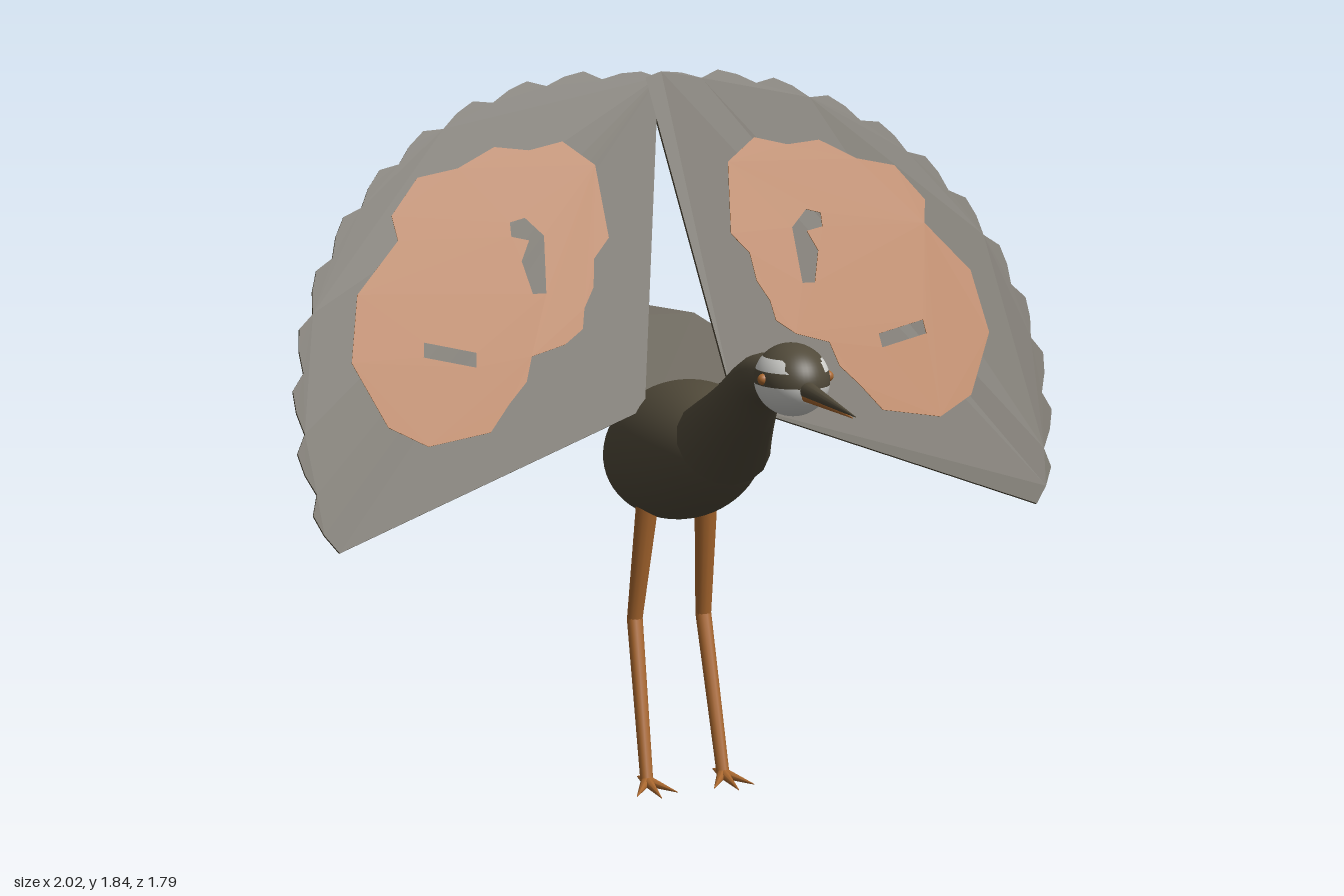
import * as THREE from 'three';

const mat = (name, color, side = THREE.FrontSide) => {
  const m = new THREE.MeshStandardMaterial({ color, side });
  m.name = name;
  return m;
};
const V = (x, y, z) => new THREE.Vector3(x, y, z);
const rad = THREE.MathUtils.degToRad;

function add(parent, name, geometry, material) {
  const m = new THREE.Mesh(geometry, material);
  m.name = name;
  parent.add(m);
  return m;
}

// Tapered round rod from a to b
function rod(parent, name, a, b, r1, r2, material, sides = 12) {
  const m = add(parent, name, new THREE.CylinderGeometry(r2, r1, a.distanceTo(b), sides), material);
  m.position.copy(a).lerp(b, 0.5);
  m.quaternion.setFromUnitVectors(V(0, 1, 0), b.clone().sub(a).normalize());
  return m;
}

// Flat plate centred on its own plane
function plate(shape, depth) {
  return new THREE.ExtrudeGeometry(shape, { depth, bevelEnabled: false }).translate(0, 0, -depth / 2);
}

export function createModel() {
  const brown = mat('plumageBrown', 0x514a3a);
  const orange = mat('patchOrange', 0xb06d32);
  const legOrange = mat('legOrange', 0xaa682f);
  const white = mat('faceWhite', 0xd2d2ce);
  const bird = new THREE.Group();
  bird.name = 'bird';

  // Body
  const body = add(bird, 'body', new THREE.SphereGeometry(1, 40, 28), brown);
  body.scale.set(0.178, 0.178, 0.38);
  body.position.set(0, 0.88, -0.28);
  body.rotation.x = -rad(14);

  // Neck: a tube whose rings shrink towards the head
  const path = new THREE.CatmullRomCurve3([V(0, 0.955, 0.04), V(0, 1.055, 0.175), V(0, 1.145, 0.3), V(0, 1.165, 0.43)]);
  const rings = 16, sides = 16;
  const neck = new THREE.TubeGeometry(path, rings, 1, sides);
  const np = neck.attributes.position, v = V(0, 0, 0);
  for (let i = 0; i <= rings; i++) {
    const t = i / rings, c = path.getPointAt(t);
    const r = 0.053 + 0.068 * Math.pow(1 - t, 1.7);
    for (let j = 0; j <= sides; j++) {
      const k = i * (sides + 1) + j;
      v.fromBufferAttribute(np, k).sub(c).multiplyScalar(r).add(c);
      np.setXYZ(k, v.x, v.y, v.z);
    }
  }
  add(bird, 'neck', neck, brown);
  const cap = add(bird, 'neckBase', new THREE.CircleGeometry(0.121, sides), brown);
  cap.position.copy(path.getPointAt(0));
  cap.lookAt(cap.position.clone().sub(path.getTangentAt(0)));

  // Head: faces are sorted into brown crown and eye stripe, white brow and cheeks
  const headGeo = new THREE.SphereGeometry(1, 48, 32).scale(0.084, 0.084, 0.107).toNonIndexed();
  const hp = headGeo.attributes.position;
  for (let i = 0; i < hp.count; i += 3) {
    const mean = (f) => (f(i) + f(i + 1) + f(i + 2)) / 3;
    const x = mean((k) => hp.getX(k)), y = mean((k) => hp.getY(k)), z = mean((k) => hp.getZ(k));
    const brow = y > 0.025 && y < 0.055 && Math.abs(x) > 0.045;
    const cheek = y < -0.009 && z > -0.06;
    headGeo.addGroup(i, 3, brow || cheek ? 1 : 0);
  }
  add(bird, 'head', headGeo, [brown, white]).position.set(0, 1.174, 0.503);

  // Beak
  rod(bird, 'upperBeak', V(0, 1.164, 0.585), V(0, 1.146, 0.885), 0.021, 0.001, brown);
  rod(bird, 'lowerBeak', V(0, 1.151, 0.585), V(0, 1.141, 0.87), 0.016, 0.001, legOrange);

  // Wing fans lie in one plane leaning backwards
  const fan = new THREE.Group();
  fan.name = 'wings';
  const lean = rad(20);
  fan.position.set(0, 1, -0.219);
  fan.rotation.x = -lean;
  bird.add(fan);

  const patchPts = [[0.26, 1.66], [0.18, 1.6], [0.165, 1.42], [0.21, 1.37], [0.22, 1.3], [0.25, 1.25], [0.26, 1.2],
    [0.31, 1.165], [0.4, 1.14], [0.42, 1.08], [0.47, 1.03], [0.525, 0.965], [0.685, 0.94], [0.78, 0.99],
    [0.855, 1.145], [0.825, 1.305], [0.71, 1.43], [0.72, 1.49], [0.645, 1.58], [0.54, 1.6], [0.44, 1.65], [0.35, 1.64]];
  const spotPts = [
    [[0.42, 1.465], [0.38, 1.475], [0.335, 1.43], [0.345, 1.29], [0.38, 1.29], [0.4, 1.37], [0.375, 1.42], [0.42, 1.43]],
    [[0.67, 1.185], [0.54, 1.155], [0.545, 1.12], [0.675, 1.15]],
  ];

  for (const s of [1, -1]) {
    const side = s > 0 ? 'left' : 'right';
    const inPlane = (pts) => pts.map(([x, y]) => new THREE.Vector2(s * x, (y - 1) / Math.cos(lean)));

    // Scalloped feather fan around the shoulder
    const feathers = 12, outline = [new THREE.Vector2(s * 0.12, 0)];
    for (let i = 0; i < feathers; i++) {
      for (const [f, r] of [[0, 0.866], [0.35, 0.882], [0.7, 0.89]]) {
        const a = rad(-21 + (120 * (i + f)) / feathers);
        outline.push(new THREE.Vector2(s * (0.12 + r * Math.cos(a)), r * Math.sin(a)));
      }
    }
    outline.push(new THREE.Vector2(s * (0.12 + 0.88 * Math.cos(rad(99))), 0.88 * Math.sin(rad(99))));
    add(fan, side + 'Wing', plate(new THREE.Shape(outline), 0.01), brown);

    // Orange patch on both faces, with openings for the dark spots
    const patch = new THREE.Shape(inPlane(patchPts));
    patch.holes = spotPts.map((p) => new THREE.Path(inPlane(p)));
    add(fan, side + 'WingPatch', plate(patch, 0.015), orange);

    // Eye
    const eye = add(bird, side + 'Eye', new THREE.SphereGeometry(0.013, 16, 12), legOrange);
    eye.position.set(s * 0.079, 1.181, 0.527);

    // Leg
    const hip = V(s * 0.08, 0.74, -0.32), knee = V(s * 0.095, 0.42, -0.385), ankle = V(s * 0.105, 0.02, -0.26);
    const leg = new THREE.Group();
    leg.name = side + 'Leg';
    bird.add(leg);
    rod(leg, 'upperLeg', hip, knee, 0.03, 0.021, legOrange);
    add(leg, 'knee', new THREE.SphereGeometry(0.021, 12, 8), legOrange).position.copy(knee);
    rod(leg, 'lowerLeg', knee, ankle, 0.021, 0.017, legOrange);

    // Toes: three forward, one back
    for (const [dx, dz] of [[0, 0.125], [0.055, 0.09], [-0.055, 0.09], [0, -0.08]]) {
      rod(leg, 'toe', V(ankle.x, 0.015, ankle.z), V(ankle.x + dx, 0.004, ankle.z + dz), 0.015, 0.001, legOrange, 8);
    }
  }

  // Tail: four-sided fan rising behind the body
  const tailPts = [new THREE.Vector2(0, 0)];
  for (let i = 0; i <= 4; i++) {
    const a = rad(27 + 31.5 * i);
    tailPts.push(new THREE.Vector2(0.44 * Math.cos(a), 0.44 * Math.sin(a)));
  }
  const tail = add(bird, 'tail', plate(new THREE.Shape(tailPts), 0.01), brown);
  tail.position.set(0, 0.902, -0.57);
  tail.rotation.x = -rad(48);

  return bird;
}
